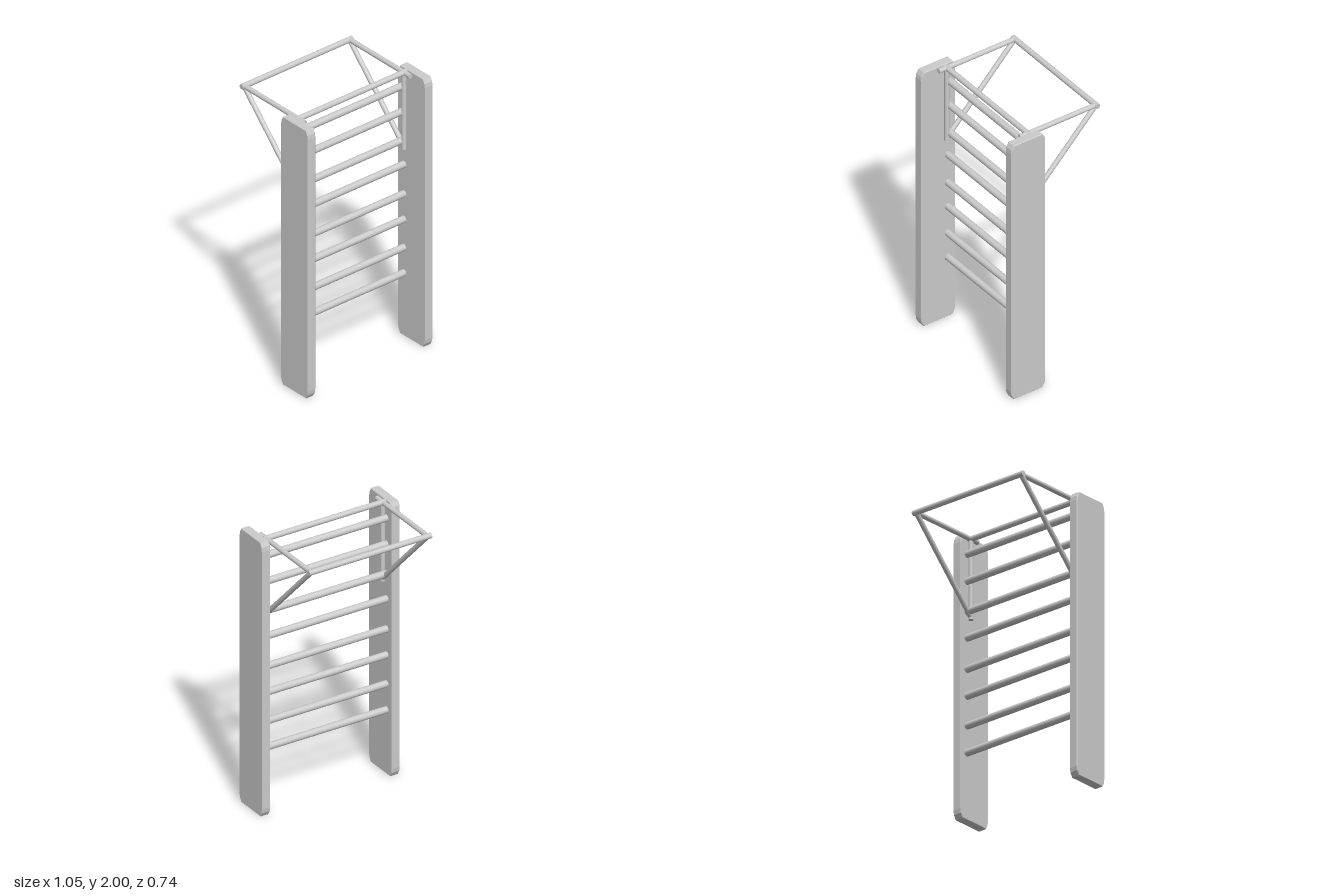
import * as THREE from 'three';

const material = new THREE.MeshStandardMaterial({ color: 0xcccccc });
const flatMaterial = new THREE.MeshStandardMaterial({ color: 0xcccccc, flatShading: true });

// Round bar between two points
function bar(name, from, to, radius) {
  const a = new THREE.Vector3(...from), b = new THREE.Vector3(...to);
  const dir = b.clone().sub(a);
  const mesh = new THREE.Mesh(new THREE.CylinderGeometry(radius, radius, dir.length(), 20), material);
  mesh.name = name;
  mesh.position.copy(a).add(b).multiplyScalar(0.5);
  mesh.quaternion.setFromUnitVectors(new THREE.Vector3(0, 1, 0), dir.normalize());
  return mesh;
}

// Upright plank: side outline with clipped corners, thin bevel on the faces
function plank(name, x) {
  const bevel = 0.004, thickness = 0.064;
  const z0 = 0.1 + bevel, z1 = 0.37 - bevel, y0 = bevel, y1 = 2 - bevel;
  const cz = 0.02, cy = 0.038;
  const points = [
    [z0 + cz, y0], [z1 - cz, y0], [z1 - 0.004, y0 + cy * 0.75], [z1, y0 + cy * 1.5],
    [z1, y1 - cy * 1.5], [z1 - 0.004, y1 - cy * 0.75], [z1 - cz, y1],
    [z0 + cz, y1], [z0 + 0.004, y1 - cy * 0.75], [z0, y1 - cy * 1.5],
    [z0, y0 + cy * 1.5], [z0 + 0.004, y0 + cy * 0.75],
  ];
  const shape = new THREE.Shape(points.map(([z, y]) => new THREE.Vector2(-z, y)));
  const geometry = new THREE.ExtrudeGeometry(shape, {
    depth: thickness - 2 * bevel, bevelThickness: bevel, bevelSize: bevel, bevelSegments: 1,
  });
  geometry.translate(0, 0, -(thickness - 2 * bevel) / 2);
  geometry.rotateY(Math.PI / 2);
  const mesh = new THREE.Mesh(geometry, flatMaterial);
  mesh.name = name;
  mesh.position.x = x;
  return mesh;
}

export function createModel() {
  const model = new THREE.Group();
  model.name = 'wallBars';

  model.add(plank('leftUpright', 0.492), plank('rightUpright', -0.492));

  // Ladder rungs
  const rungs = new THREE.Group();
  rungs.name = 'rungs';
  for (const y of [0.47, 0.66, 0.87, 1.06, 1.28, 1.465, 1.68, 1.87]) {
    rungs.add(bar('rung', [-0.47, y, 0.16], [0.47, y, 0.16], 0.024));
  }
  model.add(rungs);

  // Pull-up frame hung behind the uprights
  const frame = new THREE.Group();
  frame.name = 'pullUpFrame';
  const r = 0.017, top = 1.98;
  frame.add(bar('topCrossbar', [-0.46, top, 0.18], [0.46, top, 0.18], 0.019));
  frame.add(bar('pullUpBar', [-0.465, top, -0.355], [0.465, top, -0.355], 0.019));
  for (const [side, x] of [['left', 0.443], ['right', -0.443]]) {
    frame.add(bar(side + 'Arm', [x, top, 0.245], [x, top, -0.355], r));
    frame.add(bar(side + 'Post', [x, 1.41, 0.18], [x, 1.995, 0.18], r));
    frame.add(bar(side + 'Brace', [x, 1.425, 0.185], [x, top, -0.355], r));
  }
  model.add(frame);
  return model;
}
